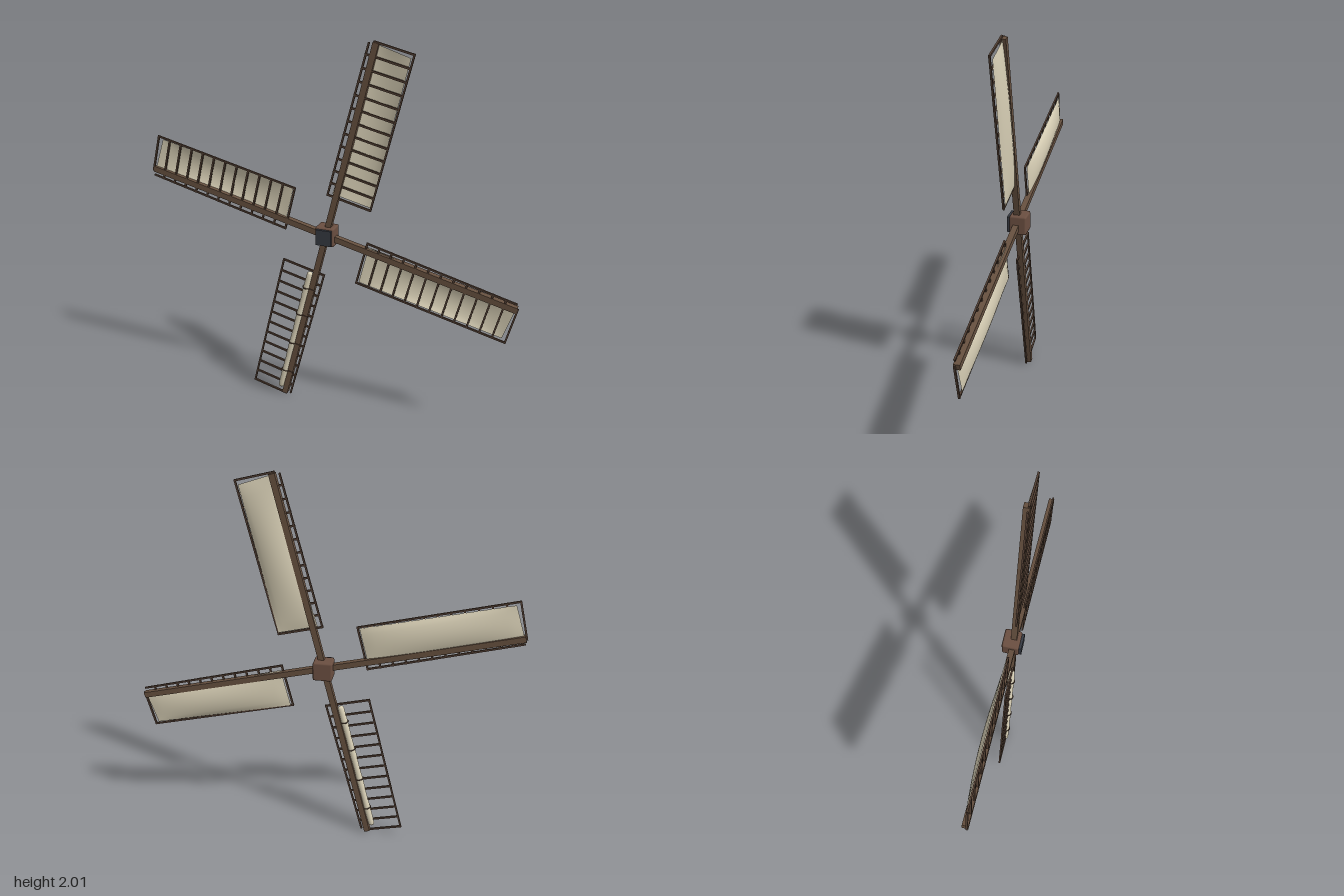
import * as THREE from 'three';
import { RoundedBoxGeometry } from 'three/addons/geometries/RoundedBoxGeometry.js';

const mat = (name, color, side = THREE.FrontSide) => {
  const m = new THREE.MeshStandardMaterial({ color, side });
  m.name = name;
  return m;
};

export function createModel() {
  const stockWood = mat('stock wood', 0x66503f);
  const latticeWood = mat('lattice wood', 0x523f33);
  const hubWood = mat('hub wood', 0x6b4f41);
  const iron = mat('iron', 0x363a42);
  const canvas = mat('canvas', 0xdbd2b8, THREE.DoubleSide);

  const INNER = 0.222, TIP = 1.03, TRAIL = 0.19, BARS = 13, FRAME_Z = 0.015;
  const leadAt = (y) => -0.045 + 0.012 * (y - INNER) / (TIP - INNER);

  const add = (parent, name, geo, material, x = 0, y = 0, z = 0) => {
    const m = new THREE.Mesh(geo, material);
    m.name = name;
    m.position.set(x, y, z);
    parent.add(m);
    return m;
  };
  const box = (parent, name, material, w, h, d, x, y, z) =>
    add(parent, name, new THREE.BoxGeometry(w, h, d), material, x, y, z);

  // Cloth fixed behind the lattice, bellying out towards the back
  const clothGeometry = () => {
    const g = new THREE.PlaneGeometry(1, 1, 12, 24);
    const p = g.attributes.position;
    for (let i = 0; i < p.count; i++) {
      const s = p.getX(i) + 0.5, t = p.getY(i) + 0.5;
      const lead = -0.024 + 0.022 * Math.sin(t * Math.PI * 0.6);
      const trail = 0.186 - 0.008 * t;
      const top = 1.022 - 0.014 * s;
      const belly = Math.pow(Math.max(0, Math.sin(s * Math.PI) * Math.sin(t * Math.PI)), 0.7);
      p.setXYZ(i, lead + (trail - lead) * s, 0.232 + (top - 0.232) * t, 0.007 - 0.025 * belly);
    }
    g.computeVertexNormals();
    return g;
  };

  // Furled cloth: slim, slightly uneven roll along the stock
  const rollGeometry = () => {
    const profile = [[0, 0.235], [0.011, 0.237]];
    for (let i = 0; i <= 24; i++) {
      const t = i / 24;
      profile.push([0.0175 - 0.001 * Math.cos(t * Math.PI * 8), 0.245 + 0.745 * t]);
    }
    profile.push([0.011, 0.998], [0, 1.0]);
    return new THREE.LatheGeometry(profile.map(([r, y]) => new THREE.Vector2(r, y)), 12);
  };

  const makeSail = (furled) => {
    const sail = new THREE.Group();
    box(sail, 'stock', stockWood, 0.031, 1.027, 0.031, 0, 0.5135, 0.006);

    // Lattice frame
    const rail = box(sail, 'leadingRail', latticeWood, 0.009, 0.8, 0.009, leadAt(0.62), 0.62, FRAME_Z);
    rail.rotation.z = -Math.atan(0.012 / (TIP - INNER));
    box(sail, 'trailingRail', latticeWood, 0.009, TIP - INNER, 0.009, TRAIL, (TIP + INNER) / 2, FRAME_Z);
    for (let i = 0; i < BARS; i++) {
      const y = INNER + (TIP - INNER) * i / (BARS - 1);
      const left = i === BARS - 1 ? -0.012 : leadAt(y) - 0.005;
      const right = TRAIL + 0.0045;
      box(sail, 'crossBar', latticeWood, right - left, 0.0095, 0.0095, (left + right) / 2, y, FRAME_Z);
    }

    if (furled) {
      add(sail, 'furledCloth', rollGeometry(), canvas, 0.031, 0, 0.014);
      // Ties looped around roll and stock
      for (const y of [0.33, 0.5, 0.69, 0.88]) {
        const tie = add(sail, 'tie', new THREE.TorusGeometry(0.0205, 0.003, 6, 16), latticeWood, 0.031, y, 0.014);
        tie.rotation.x = Math.PI / 2;
        box(sail, 'tieStrap', latticeWood, 0.044, 0.006, 0.004, 0.003, y, 0.0225);
      }
    } else {
      add(sail, 'sailCloth', clothGeometry(), canvas);
    }
    return sail;
  };

  const model = new THREE.Group();
  model.name = 'windmillSails';
  const names = ['upperSail', 'leftSail', 'lowerSail', 'rightSail'];
  names.forEach((name, i) => {
    // Sails run clockwise from the top; the third is furled
    const sail = makeSail(i === 2);
    sail.name = ['upperSail', 'leftSail', 'lowerSail', 'rightSail'][i];
    sail.position.y = 1;
    sail.rotation.z = -THREE.MathUtils.degToRad(14 + 90 * i);
    model.add(sail);
  });

  // Hub block with iron front plate
  add(model, 'hub', new RoundedBoxGeometry(0.102, 0.102, 0.09, 1, 0.01), hubWood, 0, 1, -0.004);
  box(model, 'hubPlate', iron, 0.084, 0.084, 0.014, 0, 1, 0.047);

  return model;
}
